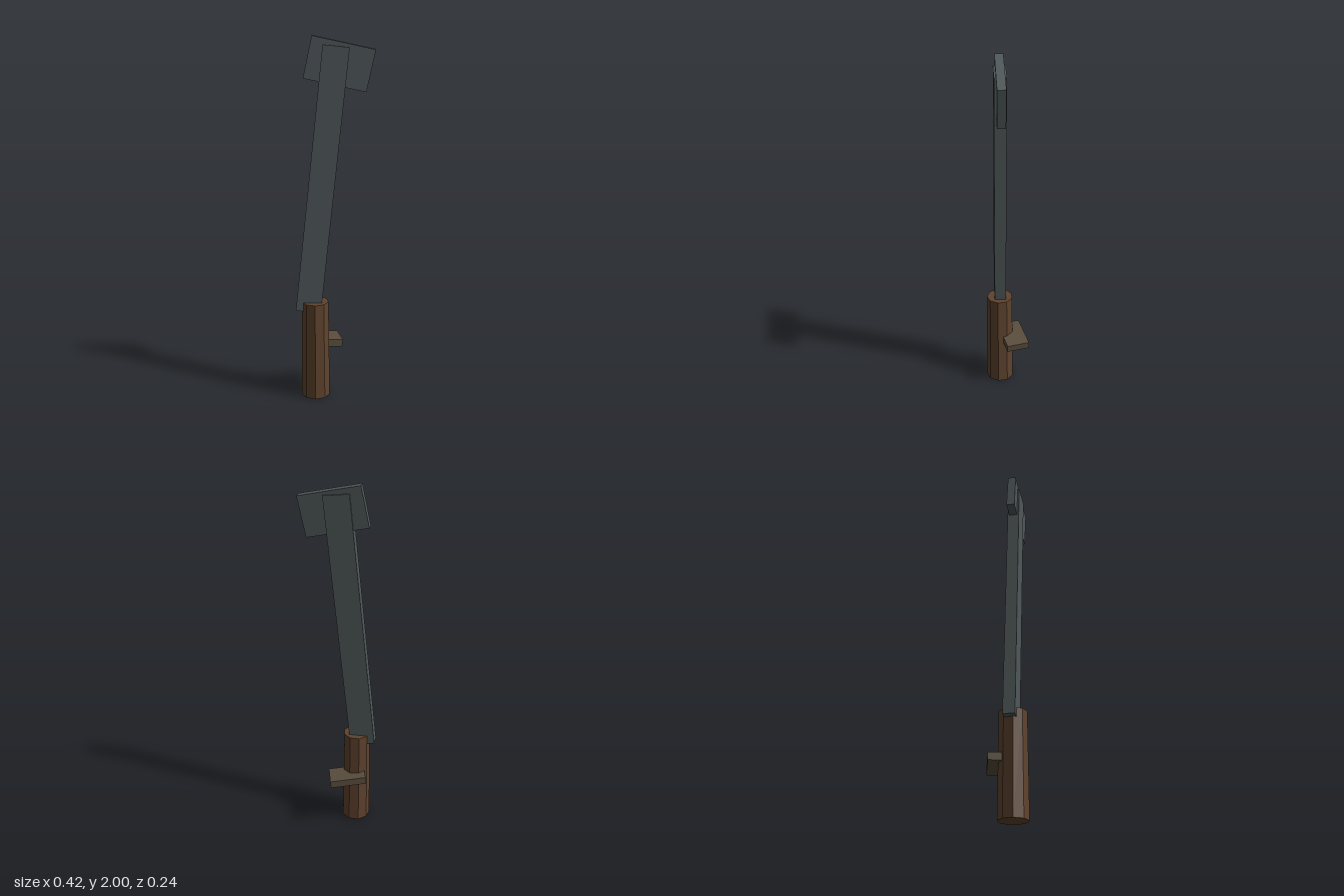
import * as THREE from 'three';

export function createModel() {
  const model = new THREE.Group();
  const material = (name, color) => {
    const m = new THREE.MeshStandardMaterial({ color });
    m.name = name;
    return m;
  };
  const steel = material('dark steel', 0x50585a);
  const wood = material('brown wood', 0x5f432d);
  const guardWood = material('dull wood', 0x594d3c);

  const add = (name, geometry, mat, position, rotation = [0, 0, 0]) => {
    const mesh = new THREE.Mesh(geometry, mat);
    mesh.name = name;
    mesh.position.set(...position);
    mesh.rotation.set(...rotation);
    model.add(mesh);
  };

  // Nine-sided tapered grip; non-indexed so that every side stays flat
  const grip = new THREE.CylinderGeometry(0.074, 0.08, 0.56, 9).toNonIndexed();
  grip.computeVertexNormals();
  add('grip', grip, wood, [-0.106, 0.28, 0.04]);

  // Long leaning shaft and the tilted block at its tip
  add('shaft', new THREE.BoxGeometry(0.138, 1.448, 0.064), steel,
    [-0.068, 1.228, 0.038], [0, 0, -0.105]);
  add('head', new THREE.BoxGeometry(0.333, 0.22, 0.045), steel,
    [0.024, 1.857, 0.0375], [0, 0, -0.213]);

  // Skewed peg through the back of the grip
  add('peg', new THREE.BoxGeometry(0.202, 0.042, 0.13), guardWood,
    [-0.0675, 0.301, -0.0355], [0, 0.25, -0.11]);

  return model;
}
